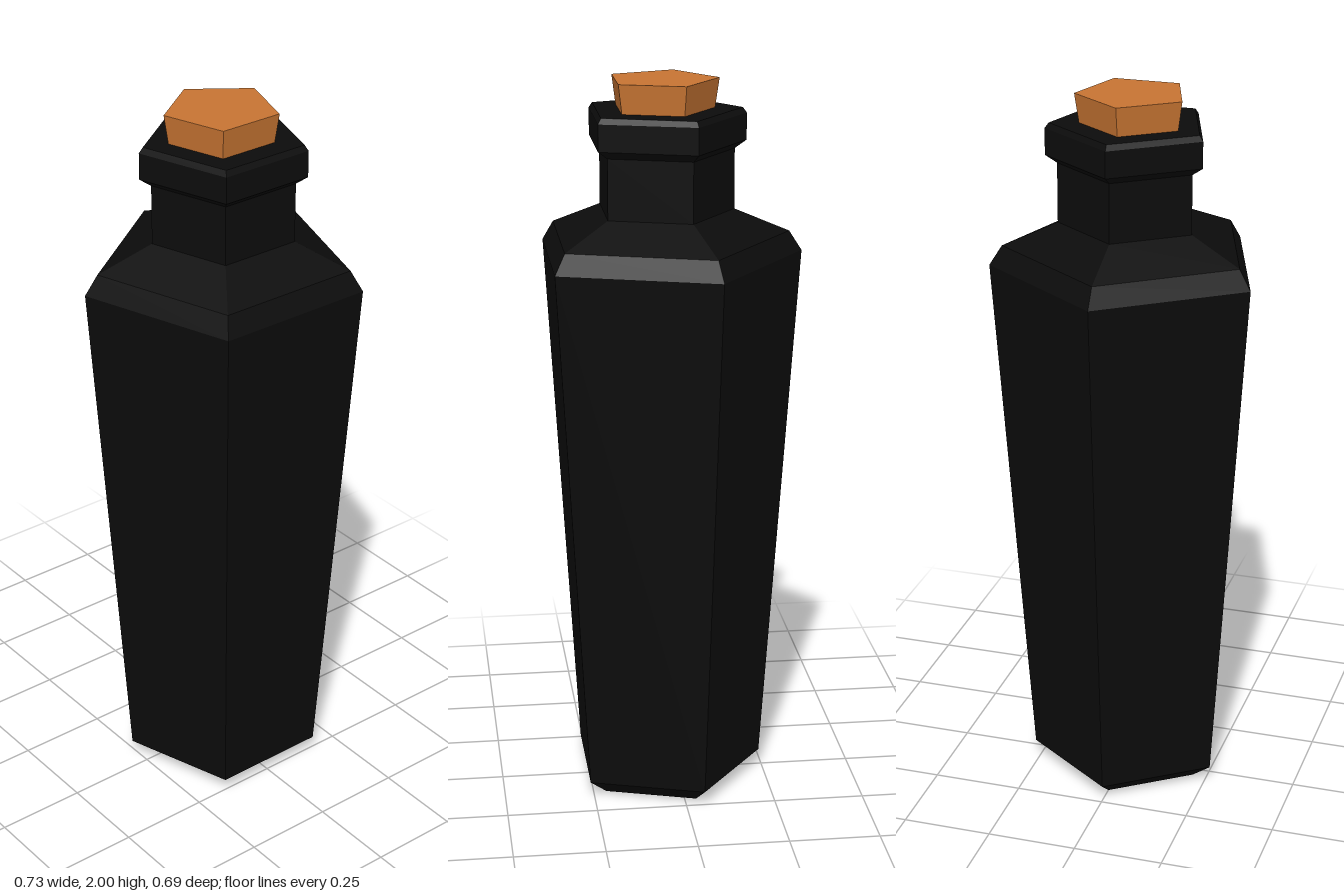
import * as THREE from 'three';

const SIDES = 5;
const AXIS_Z = 0.036; // the pentagon's centre sits forward of its bounding-box centre

// Faceted pentagonal solid turned from [radius, height] pairs, one corner towards the back
function facetedSolid(name, profile, color) {
  const points = profile.map(([r, y]) => new THREE.Vector2(r, y));
  const geometry = new THREE.LatheGeometry(points, SIDES, Math.PI).toNonIndexed();
  geometry.computeVertexNormals();
  const mesh = new THREE.Mesh(geometry, new THREE.MeshStandardMaterial({ color, flatShading: true }));
  mesh.name = name;
  mesh.position.z = AXIS_Z;
  return mesh;
}

export function createModel() {
  const model = new THREE.Group();
  model.name = 'bottle';

  // Glass: chamfered foot, flaring body, shoulder, neck and lip
  model.add(facetedSolid('glassBody', [
    [0, 0], [0.22, 0],
    [0.278, 0.045],
    [0.382, 1.525], [0.347, 1.58],
    [0.196, 1.645], [0.196, 1.81],
    [0.228, 1.832], [0.228, 1.905],
    [0.217, 1.92], [0, 1.92],
  ], 0x0c0c0c));

  // Tapered stopper, pushed into the neck and slightly off centre
  const cork = facetedSolid('cork', [
    [0, 1.78], [0.122, 1.78], [0.155, 2], [0, 2],
  ], 0xc87533);
  cork.position.x = -0.006;
  model.add(cork);

  return model;
}
